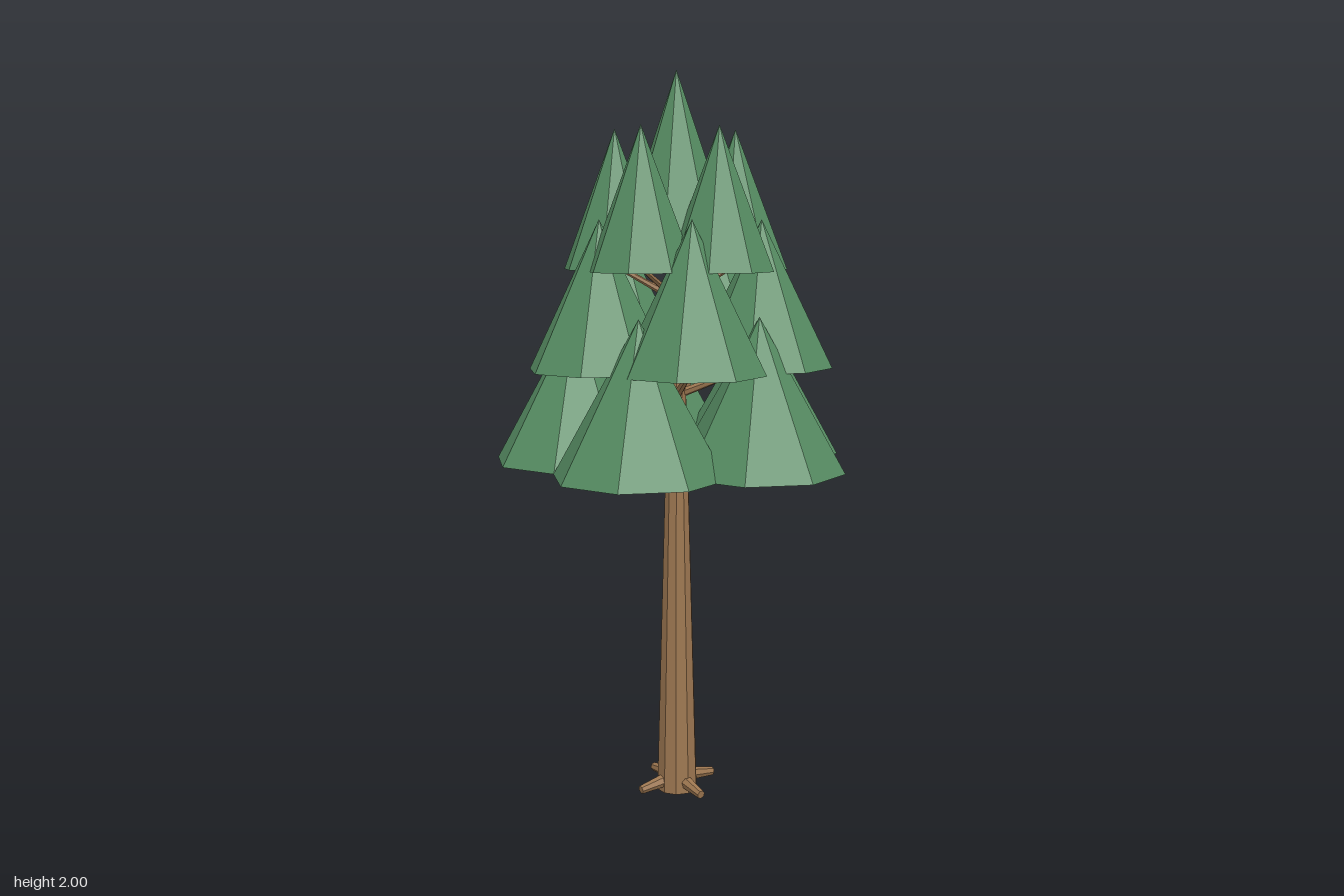
import * as THREE from 'three';

const TRUNK_X = -0.028;

export function createModel() {
  const tree = new THREE.Group();
  tree.name = 'pineTree';
  const needles = new THREE.MeshStandardMaterial({ color: 0x568c62, flatShading: true });
  needles.name = 'needle green';
  const bark = new THREE.MeshStandardMaterial({ color: 0x9c7650, flatShading: true });
  bark.name = 'bark brown';

  // Everything is arranged around the trunk axis
  const body = new THREE.Group();
  body.name = 'treeBody';
  body.position.x = TRUNK_X;
  tree.add(body);

  function add(name, geometry, material) {
    const mesh = new THREE.Mesh(geometry, material);
    mesh.name = name;
    body.add(mesh);
    return mesh;
  }

  // Tapered limb between two points
  function limb(name, from, to, r0, r1, sides) {
    const dir = to.clone().sub(from);
    const mesh = add(name, new THREE.CylinderGeometry(r1, r0, dir.length(), sides), bark);
    mesh.position.copy(from).addScaledVector(dir, 0.5);
    mesh.quaternion.setFromUnitVectors(new THREE.Vector3(0, 1, 0), dir.normalize());
  }

  const polar = (angle, radius, y) =>
    new THREE.Vector3(Math.cos(angle) * radius, y, Math.sin(angle) * radius);

  // Eight-sided needle cone
  function cone(name, base, radius, height) {
    const mesh = add(name, new THREE.ConeGeometry(radius, height, 8), needles);
    mesh.position.copy(base);
    mesh.position.y += height / 2;
  }

  // Trunk
  limb('trunk', new THREE.Vector3(0, 0, 0), new THREE.Vector3(0, 1.6, 0), 0.058, 0.014, 10);

  // Four short roots
  for (let i = 0; i < 4; i++) {
    const a = (i * Math.PI) / 2;
    limb('root', polar(a, 0.03, 0.032), polar(a, 0.122, 0.019), 0.02, 0.012, 7);
  }

  // Three tiers, each with five branches carrying a needle cone
  const tiers = [
    { base: 0.953, height: 0.407, radius: 0.23, reach: 0.275, turn: 0 },
    { base: 1.215, height: 0.395, radius: 0.195, reach: 0.229, turn: 41.6 },
    { base: 1.475, height: 0.375, radius: 0.145, reach: 0.172, turn: 83.5 },
  ];
  tiers.forEach((t, k) => {
    for (let i = 0; i < 5; i++) {
      const a = THREE.MathUtils.degToRad(t.turn + i * 72);
      limb('branch', new THREE.Vector3(0, t.base - 0.08, 0), polar(a, t.reach, t.base + 0.01),
        0.015 - k * 0.002, 0.006, 6);
      cone('needleCone', polar(a, t.reach, t.base), t.radius, t.height);
    }
  });

  // Crown
  cone('crownCone', new THREE.Vector3(0, 1.54, 0), 0.16, 0.46);

  return tree;
}
